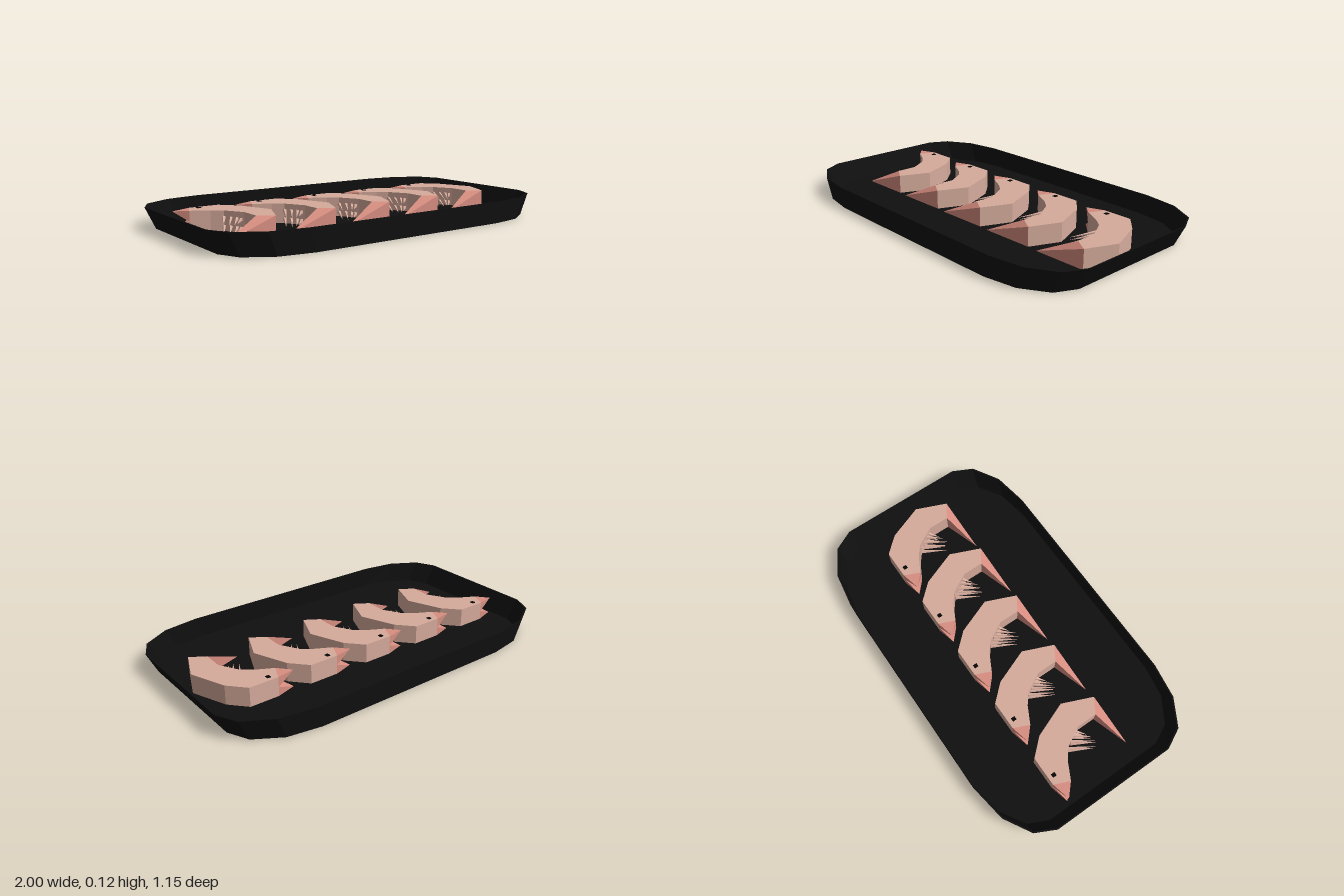
import * as THREE from 'three';
import { ConvexGeometry } from 'three/addons/geometries/ConvexGeometry.js';

const mat = (name, color) => {
  const m = new THREE.MeshStandardMaterial({ color, flatShading: true });
  m.name = name;
  return m;
};

const H = 0.11; // prawn thickness

function named(geometry, material, name) {
  const mesh = new THREE.Mesh(geometry, material);
  mesh.name = name;
  return mesh;
}

// Tray: one outline lofted from the base up the wall, over the rim and down to the floor
function trayGeometry() {
  const corner = [[1, 0.35], [0.945, 0.46], [0.8, 0.545], [0.61, 0.575]];
  const back = [...corner].reverse();
  const outline = [
    ...corner,
    ...back.map(([x, z]) => [-x, z]),
    ...corner.map(([x, z]) => [-x, -z]),
    ...back.map(([x, z]) => [x, -z]),
  ];
  // x scale, z scale, height
  const rings = [
    [0, 0, 0], [0.945, 0.995, 0], [1, 1, 0.115],
    [0.993, 0.988, 0.115], [0.935, 0.98, 0.006], [0, 0, 0.006],
  ];
  const n = outline.length;
  const pos = [], index = [];
  rings.forEach(([sx, sz, y]) => outline.forEach(([x, z]) => pos.push(x * sx, y, z * sz)));
  for (let r = 0; r < rings.length - 1; r++) {
    for (let i = 0; i < n; i++) {
      const j = (i + 1) % n;
      const a = r * n + i, b = r * n + j, c = a + n, d = b + n;
      if (r > 0) index.push(a, c, b);
      if (r < rings.length - 2) index.push(c, d, b);
      if (r === 0) index.push(a, c, d).valueOf();
      if (r === 0) index.splice(index.length - 6, 3);
      }
  }
  const g = new THREE.BufferGeometry();
  g.setAttribute('position', new THREE.Float32BufferAttribute(pos, 3));
  g.setIndex(index);
  const flat = g.toNonIndexed();
  flat.computeVertexNormals();
  return flat;
}

// Wedge from an upright quad (two plan points, two heights) to a tip
function wedge(p, q, y0, y1, tip) {
  const pts = [];
  for (const [x, z] of [p, q]) for (const y of [y0, y1]) pts.push(new THREE.Vector3(x, y, z));
  pts.push(new THREE.Vector3(...tip));
  return new ConvexGeometry(pts);
}

// Thin spike between two points
function spike(from, to, radius) {
  const a = new THREE.Vector3(...from), b = new THREE.Vector3(...to);
  const dir = b.clone().sub(a);
  const g = new THREE.ConeGeometry(radius, dir.length(), 4);
  const q = new THREE.Quaternion().setFromUnitVectors(new THREE.Vector3(0, 1, 0), dir.normalize());
  g.applyQuaternion(q);
  const mid = a.add(b).multiplyScalar(0.5);
  return g.translate(mid.x, mid.y, mid.z);
}

function createPrawn(shell, pink, black) {
  const prawn = new THREE.Group();
  const headTop = [-0.107, -0.24], headLow = [-0.144, -0.155];
  const tailOut = [0.139, 0.205], tailIn = [0.059, 0.155];

  // Curved body lying on its side
  const plan = [
    headTop, [0.053, -0.24], [0.134, -0.15], [0.208, 0.04], tailOut,
    tailIn, [0.059, 0.04], [0, -0.065], [-0.053, -0.107], headLow,
  ];
  const shape = new THREE.Shape(plan.map(([x, z]) => new THREE.Vector2(x, -z)));
  const bodyGeo = new THREE.ExtrudeGeometry(shape, { depth: H - 0.006, bevelEnabled: false });
  bodyGeo.rotateX(-Math.PI / 2).translate(0, 0.006, 0);
  prawn.add(named(bodyGeo, shell, 'body'));

  // Tail tapering to a point on the floor
  prawn.add(named(wedge(tailIn, tailOut, 0.006, H, [-0.144, 0.012, 0.22]), pink, 'tail'));

  // Forked snout: one point at the top, one at the bottom
  const mid = H / 2;
  prawn.add(named(wedge(headTop, headLow, mid, H, [-0.209, H - 0.005, -0.215]), pink, 'upperSnout'));
  prawn.add(named(wedge(headTop, headLow, 0.006, mid, [-0.209, 0.012, -0.215]), pink, 'lowerSnout'));

  // Legs fanning out of the inner curve, in two rows
  const legs = [
    [[0, -0.065], [-0.072, 0.07]],
    [[0.02, -0.03], [-0.05, 0.09]],
    [[0.04, 0], [-0.022, 0.085]],
    [[0.055, 0.02], [0.005, 0.065]],
  ];
  for (const y of [0.03, 0.075]) {
    for (const [a, b] of legs) {
      prawn.add(named(spike([a[0], y, a[1]], [b[0], y - 0.015, b[1]], 0.01), shell, 'leg'));
    }
  }

  // Eye
  const eye = named(new THREE.BoxGeometry(0.02, 0.004, 0.022), black, 'eye');
  eye.position.set(-0.07, H + 0.001, -0.208);
  prawn.add(eye);
  return prawn;
}

export function createModel() {
  const trayBlack = mat('trayBlack', 0x0f0f0f);
  const shell = mat('shellBeige', 0xd6ab9c);
  const pink = mat('tailPink', 0xd68d80);
  const black = mat('eyeBlack', 0x050505);

  const model = new THREE.Group();
  model.name = 'prawnTray';
  model.add(named(trayGeometry(), trayBlack, 'tray'));

  // Row of five prawns
  for (let i = 0; i < 5; i++) {
    const prawn = createPrawn(shell, pink, black);
    prawn.name = 'prawn' + (i + 1);
    prawn.position.x = (i - 2) * 0.351;
    model.add(prawn);
  }
  return model;
}
